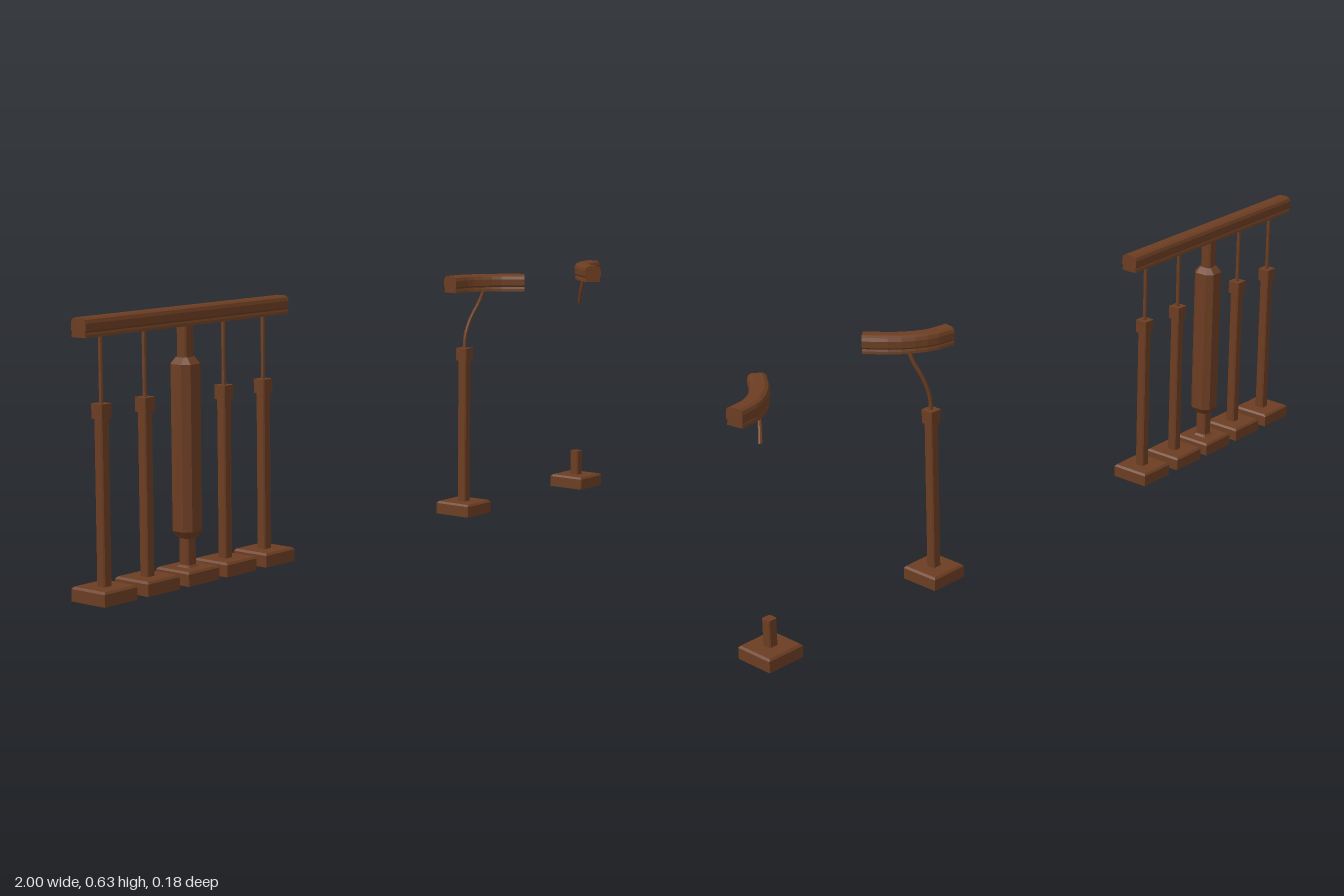
import * as THREE from 'three';

const wood = new THREE.MeshStandardMaterial({ color: 0x6b3d22, flatShading: true });
const Z = -0.039; // line of the posts
const V = (x, y, z) => new THREE.Vector3(x, y, z);

// Skin a stack of equal-length rings (counter-clockwise about the travel direction), with end caps
function loft(rings) {
  const pos = [];
  const tri = (...pts) => pts.forEach(p => pos.push(p.x, p.y, p.z));
  const n = rings[0].length;
  for (let i = 0; i < rings.length - 1; i++) {
    for (let j = 0; j < n; j++) {
      const k = (j + 1) % n, r = rings[i], s = rings[i + 1];
      tri(r[j], r[k], s[k]);
      tri(r[j], s[k], s[j]);
    }
  }
  const centre = r => r.reduce((c, p) => c.add(p), V(0, 0, 0)).divideScalar(n);
  const a = rings[0], b = rings[rings.length - 1], ca = centre(a), cb = centre(b);
  for (let j = 0; j < n; j++) {
    const k = (j + 1) % n;
    tri(ca, a[k], a[j]);
    tri(cb, b[j], b[k]);
  }
  const g = new THREE.BufferGeometry();
  g.setAttribute('position', new THREE.Float32BufferAttribute(pos, 3));
  g.computeVertexNormals();
  return g;
}

// Square turning with chamfered corners; sections are [y, half width, chamfer]
function turning(sections) {
  return loft(sections.map(([y, h, c]) => {
    const f = h - c;
    return [[h, -f], [h, f], [f, h], [-f, h], [-h, f], [-h, -f], [-f, -h], [f, -h]]
      .map(([z, x]) => V(x, y, z));
  }));
}

// Sweep a 2D profile along a curve
function sweep(curve, profile, ref, steps, t0 = 0, t1 = 1) {
  const rings = [];
  for (let i = 0; i <= steps; i++) {
    const t = t0 + (t1 - t0) * i / steps;
    const p = curve.getPoint(t), T = curve.getTangent(t);
    const side = ref.clone().cross(T).normalize(), up = T.clone().cross(side);
    rings.push(profile.map(([a, b]) => p.clone().addScaledVector(side, a).addScaledVector(up, b)));
  }
  return loft(rings);
}

// Handrail section: rounded top, flared lip underneath
const half = [[0.021, -0.022], [0.0205, -0.016], [0.019, -0.011], [0.0225, -0.007],
  [0.0225, 0.009], [0.0195, 0.017], [0.012, 0.021]];
const railProfile = [...half, ...half.map(([a, b]) => [-a, b]).reverse()];
const rodProfile = Array.from({ length: 8 }, (_, i) => {
  const a = i * Math.PI / 4;
  return [0.005 * Math.cos(a), 0.005 * Math.sin(a)];
});

export function createModel() {
  const model = new THREE.Group();
  const add = (parent, name, geometry, x = 0, y = 0, z = 0) => {
    const m = new THREE.Mesh(geometry, wood);
    m.name = name;
    m.position.set(x, y, z);
    parent.add(m);
  };
  const postGroup = (name, x) => {
    const g = new THREE.Group();
    g.name = name;
    g.position.set(x, 0, Z);
    model.add(g);
    add(g, 'base', turning([[0, 0.0515, 0.001], [0.028, 0.0515, 0.001], [0.033, 0.047, 0.001]]));
    return g;
  };
  const baluster = (name, x) => {
    const g = postGroup(name, x);
    add(g, 'shaft', turning([[0.033, 0.0125, 0.003], [0.406, 0.0125, 0.003]]));
    add(g, 'collar', turning([[0.405, 0.0165, 0.002], [0.438, 0.0165, 0.002]]));
    return g;
  };

  // Straight section: four balusters around a thick newel
  [-0.935, -0.8, -0.54, -0.403].forEach((x, i) => {
    const g = baluster('baluster' + (i + 1), x);
    add(g, 'rod', new THREE.CylinderGeometry(0.005, 0.005, 0.16, 8), 0, 0.515, 0);
  });
  const newel = postGroup('newel', -0.668);
  add(newel, 'newelPost', turning([
    [0.033, 0.02, 0.004], [0.038, 0.015, 0.004], [0.1, 0.015, 0.004], [0.1, 0.018, 0.006],
    [0.117, 0.031, 0.015], [0.5, 0.031, 0.015], [0.515, 0.018, 0.006],
    [0.515, 0.015, 0.004], [0.595, 0.015, 0.004]]));
  const straight = new THREE.LineCurve3(V(-1, 0.609, Z), V(-0.335, 0.609, Z));
  add(model, 'straightRail', sweep(straight, railProfile, V(0, 1, 0), 1));

  // Curved rail pieces, mirrored about the gap, with their bent rods
  const mid = 0.6635;
  [1, -1].forEach(s => {
    const broken = s < 0;
    const X = x => mid + s * (x - mid);
    const rail = new THREE.CatmullRomCurve3([
      V(X(0.33), 0.609, Z), V(X(0.39), 0.609, -0.029), V(X(0.45), 0.609, 0.012), V(X(0.5), 0.609, 0.074)]);
    add(model, broken ? 'brokenCurvedRail' : 'curvedRail', sweep(rail, railProfile, V(0, 1, 0), 8));
    const rod = new THREE.CatmullRomCurve3([
      V(X(0.43), 0.597, 0), V(X(0.424), 0.56, -0.013), V(X(0.408), 0.515, -0.03),
      V(X(0.396), 0.47, -0.038), V(X(0.394), 0.43, Z)]);
    add(model, broken ? 'brokenRod' : 'bentRod',
      sweep(rod, rodProfile, V(1, 0, 0), broken ? 5 : 10, 0, broken ? 0.48 : 1));
  });
  baluster('curvedBaluster', 0.394);

  // Snapped baluster: only the foot is left
  const stump = postGroup('brokenBaluster', 0.926);
  add(stump, 'stump', turning([[0.033, 0.0125, 0.003], [0.1, 0.0125, 0.003]]));

  return model;
}
